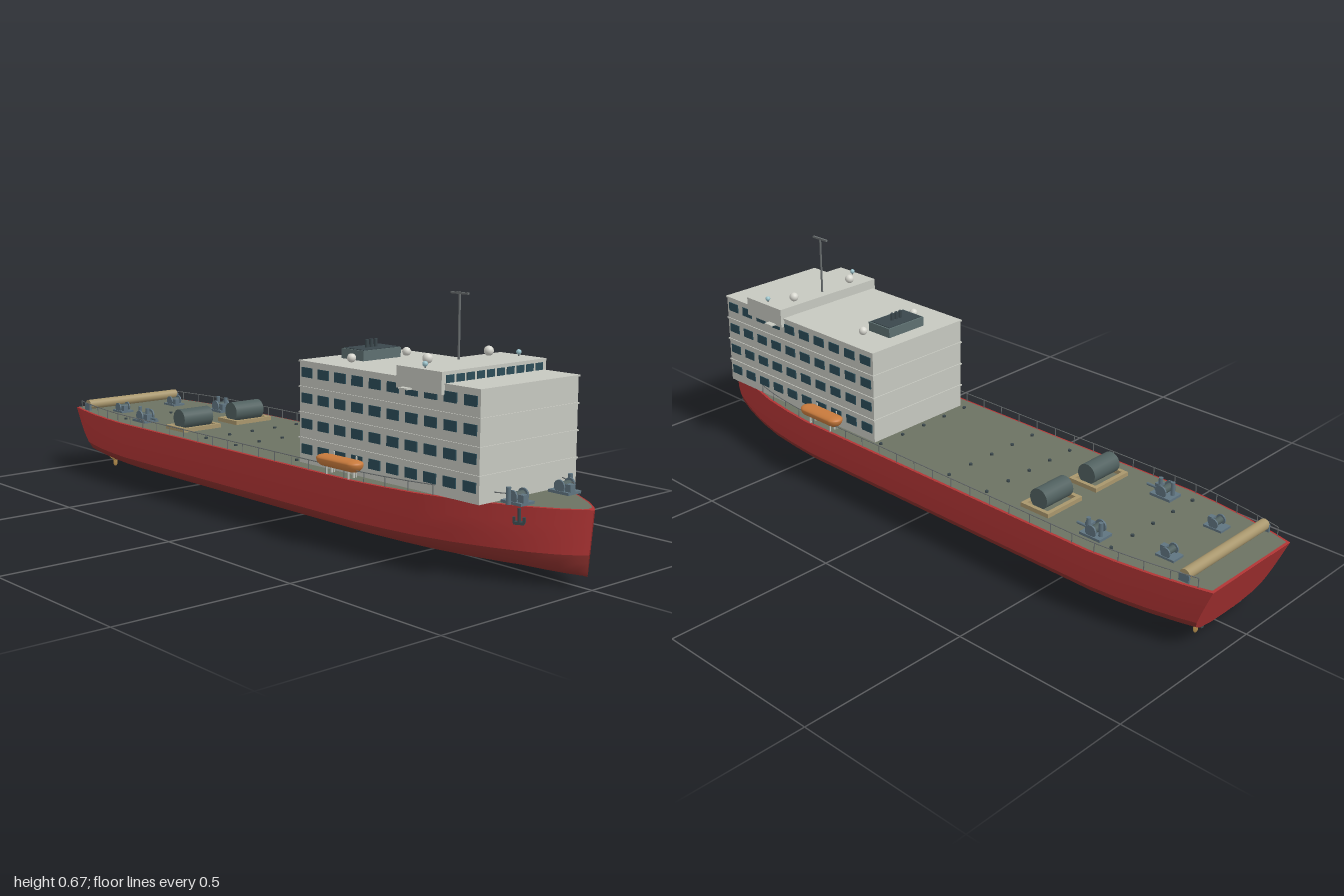
import * as THREE from 'three';

const mat = (color, side = THREE.FrontSide) => new THREE.MeshStandardMaterial({ color, side });
const M = {
  red: mat(0xb23535, THREE.DoubleSide), bottom: mat(0x8c302d, THREE.DoubleSide), deck: mat(0x6c7262),
  white: mat(0xc6c8c0), glass: mat(0x2b4c58), slate: mat(0x5f7480), dark: mat(0x3a474c),
  drum: mat(0x50605f), tan: mat(0xa8966c), orange: mat(0xc87a3c), rail: mat(0x6a6f70),
  bronze: mat(0xb08a4a), funnel: mat(0x5d6f70), dome: mat(0xd8d8d0), lamp: mat(0x9cc4cc),
};

// Hull plan: x and half-breadth at the deck edge
const plan = [[-1, .165], [-.94, .18], [-.85, .198], [-.75, .212], [-.66, .22], [-.2, .22], [.15, .22], [.4, .22],
  [.5, .21], [.6, .195], [.7, .168], [.8, .13], [.88, .092], [.94, .056], [.98, .024], [1, .002]];
// Hull section: breadth fraction and height, deck to keel
const section = [[1, .185], [.985, .145], [.965, .108], [.92, .075], [.86, .055], [.67, .035], [.36, .024], [0, .022]];

function half(x) {
  for (let i = 1; i < plan.length; i++) {
    const [x0, w0] = plan[i - 1], [x1, w1] = plan[i];
    if (x <= x1) return w0 + (w1 - w0) * (x - x0) / (x1 - x0);
  }
  return 0;
}

// Point on the hull, with the raked stern
function hullPoint([X, w], [f, y]) {
  const drop = 1 - (y - .022) / .163;
  const rake = .07 * drop * Math.max(0, 1 - (X + 1) / .3);
  return [X + rake - (X > .9 ? .015 * drop * (X - .9) / .1 : 0), y, w * f];
}

function build(positions, index) {
  const g = new THREE.BufferGeometry();
  g.setAttribute('position', new THREE.Float32BufferAttribute(positions, 3));
  g.setIndex(index);
  g.computeVertexNormals();
  return g;
}

// Plating between section rows over all stations
function plating(rows) {
  const pos = [], idx = [], n = rows.length;
  plan.forEach((p, i) => rows.forEach((r, j) => {
    pos.push(...hullPoint(p, r));
    if (i < plan.length - 1 && j < n - 1) {
      const a = i * n + j, b = a + n;
      idx.push(a, a + 1, b, b, a + 1, b + 1);
    }
  }));
  return build(pos, idx);
}

function deckShape(inset) {
  const s = new THREE.Shape();
  const pts = plan.map(([x, w]) => [x < -.99 ? x + inset : x > .99 ? x - inset * 2 : x, Math.max(w - inset, .001)]);
  [...pts, ...pts.map(([x, w]) => [x, -w]).reverse()].forEach(([x, y], i) => i ? s.lineTo(x, y) : s.moveTo(x, y));
  return new THREE.ShapeGeometry(s).rotateX(-Math.PI / 2);
}

export function createModel() {
  const root = new THREE.Group();
  const add = (name, geo, m, x = 0, y = 0, z = 0, parent = root) => {
    const mesh = new THREE.Mesh(geo, m);
    mesh.name = name;
    mesh.position.set(x, y, z);
    parent.add(mesh);
    return mesh;
  };
  const box = (name, m, w, h, d, x, y, z, p) => add(name, new THREE.BoxGeometry(w, h, d), m, x, y, z, p);
  const cyl = (name, m, r, h, x, y, z, axis = 'y', p = root, seg = 16) => {
    const g = new THREE.CylinderGeometry(r, r, h, seg);
    if (axis === 'z') g.rotateX(Math.PI / 2);
    if (axis === 'x') g.rotateZ(Math.PI / 2);
    return add(name, g, m, x, y, z, p);
  };
  const ball = (name, m, r, x, y, z) => add(name, new THREE.SphereGeometry(r, 20, 14), m, x, y, z);

  // Hull
  const mirror = rows => rows.map(([f, y]) => [-f, y]).reverse();
  const upper = section.slice(0, 4), lower = section.slice(3);
  add('hullSideLeft', plating(upper), M.red);
  add('hullSideRight', plating(mirror(upper)), M.red);
  add('hullBottom', plating([...lower, ...mirror(lower).slice(1)]), M.bottom);
  const ring = [...section, ...mirror(section).slice(1)];
  const fan = [];
  for (let j = 1; j < ring.length - 1; j++) fan.push(0, j + 1, j);
  add('transom', build(ring.flatMap(r => hullPoint(plan[0], r)), fan), M.red);
  add('gunwale', deckShape(0), M.red, 0, .1845);
  add('mainDeck', deckShape(.007), M.deck, 0, .186);

  // Accommodation block: four storeys with slabs between
  for (let k = 0; k < 4; k++) {
    const y = .22 + k * .0685;
    box('storey', M.white, .65, .066, .35, .475, y, 0);
    box('floorSlab', M.white, .656, .004, .356, .475, y + .0345, 0);
    for (const s of [-1, 1]) for (let i = 0; i < 10; i++)
      box('cabinWindow', M.glass, .042, .026, .004, .18 + i * .0655, y + .006, s * .1755);
  }

  // Bridge
  box('bridge', M.white, .155, .055, .374, .6075, .4625, 0);
  for (let i = 0; i < 10; i++) box('bridgeWindow', M.glass, .004, .024, .027, .685, .469, (i - 4.5) * .0355);
  for (const s of [-1, 1]) {
    box('bridgeWing', M.white, .03, .004, .02, .57, .438, s * .195);
    ball('radarDome', M.dome, .013, .56, .503, s * .11);
    ball('searchlight', M.lamp, .007, .61, .5, s * .168);
    cyl('searchlightPost', M.rail, .002, .008, .61, .492, s * .168);
    ball('roofDome', M.dome, .012, .27, .473, s * .1);
  }
  cyl('mast', M.rail, .003, .17, .56, .575, 0);
  box('mastCrossbar', M.rail, .06, .005, .006, .56, .657, 0);

  // Funnel casing
  box('funnelCasing', M.funnel, .085, .03, .136, .238, .474, 0);
  box('funnelTop', M.dark, .075, .003, .126, .238, .4895, 0);
  for (const z of [-.016, 0, .016]) cyl('exhaustPipe', M.dark, .005, .024, .238, .5, z);

  // Stern roller and its bearings
  cyl('sternRoller', M.tan, .015, .34, -.92, .204, 0, 'z', root, 24);
  for (const s of [-1, 1]) box('rollerBearing', M.slate, .03, .022, .006, -.92, .196, s * .17);

  // Winch with a drum, flanges and motor
  const winch = (name, x, z, k) => {
    const g = new THREE.Group();
    g.name = name;
    box('winchBase', M.slate, .055, .006, .042, 0, .003, 0, g);
    cyl('winchDrum', M.drum, .009, .036, 0, .016, 0, 'z', g);
    for (const s of [-1, 1]) cyl('winchFlange', M.slate, .014, .004, 0, .016, s * .017, 'z', g);
    box('winchMotor', M.slate, .015, .018, .016, .02, .013, .006, g);
    g.position.set(x, .186, z);
    g.scale.setScalar(k);
    root.add(g);
  };

  for (const s of [-1, 1]) {
    // Deck machinery
    winch('sternWinch', -.825, s * .1, 1);
    winch('towWinch', -.63, s * .145, 1.2);
    for (const x of [-.65, -.61]) cyl('towPost', M.slate, .006, .045, x, .208, s * .15);
    cyl('towArm', M.slate, .004, .05, -.595, .2, s * .145, 'x');
    winch('bowWindlass', .84, s * .085, 1.15);
    cyl('bowBollard', M.slate, .006, .042, .835, .207, s * .112);

    // Cable reel in its coaming
    for (const e of [-1, 1]) {
      box('reelCoamingSide', M.tan, .012, .012, .136, -.443 + e * .041, .192, s * .097);
      box('reelCoamingEnd', M.tan, .094, .012, .012, -.443, .192, s * .097 + e * .062);
    }
    cyl('cableReel', M.drum, .029, .105, -.443, .219, s * .097, 'z', root, 24);

    // Lifeboat on davits
    const g = new THREE.CapsuleGeometry(.025, .108, 8, 24).rotateZ(Math.PI / 2);
    const p = g.attributes.position;
    for (let i = 0; i < p.count; i++) p.setY(i, p.getY(i) * (p.getY(i) > 0 ? .4 : .88));
    g.computeVertexNormals();
    add('lifeboat', g, M.orange, .343, .225, s * .205);
    for (const x of [.3, .385]) {
      for (const z of [.194, .212]) cyl('davitPost', M.white, .003, .022, x, .195, s * z);
      cyl('davitArm', M.white, .002, .054, x, .213, s * .185);
    }

    // Railing along the deck edge
    const pts = [];
    for (let x = -.96; x < .93; x += .07) {
      const z = s * (half(x) - .006);
      pts.push(new THREE.Vector3(x, .211, z));
      cyl('railPost', M.rail, .0013, .026, x, .198, z, 'y', root, 6);
    }
    const path = new THREE.CatmullRomCurve3(pts);
    add('handrail', new THREE.TubeGeometry(path, 80, .0014, 5), M.rail);

    // Anchor against the bow plating
    const anchor = new THREE.Group();
    anchor.name = 'anchor';
    cyl('anchorShank', M.dark, .004, .035, 0, 0, 0, 'y', anchor, 8);
    box('anchorCrown', M.dark, .026, .007, .012, 0, -.018, 0, anchor);
    for (const e of [-1, 1]) box('anchorFluke', M.dark, .006, .014, .008, e * .012, -.011, 0, anchor);
    anchor.position.set(.865, .164, s * .107);
    anchor.rotation.y = s * .5;
    root.add(anchor);

    // Propeller, shaft and blades
    cyl('shaftPod', M.dark, .007, .1, -.875, .022, s * .082, 'x');
    cyl('propellerHub', M.bronze, .008, .014, -.905, .019, s * .082, 'x');
    for (let i = 0; i < 3; i++) {
      const blade = new THREE.SphereGeometry(.012, 10, 8).scale(.22, 1, .6).rotateY(.5).translate(0, .014, 0);
      add('propellerBlade', blade, M.bronze, -.905, .019, s * .082).rotation.x = Math.PI / 3 + i * Math.PI * 2 / 3;
    }
  }

  // Rows of deck fittings
  for (const x of [-.7, -.28, -.14, .13])
    for (let i = -2; i <= 2; i++) cyl('deckFitting', M.dark, .005, .006, x, .188, i * .085, 'y', root, 10);

  return root;
}
